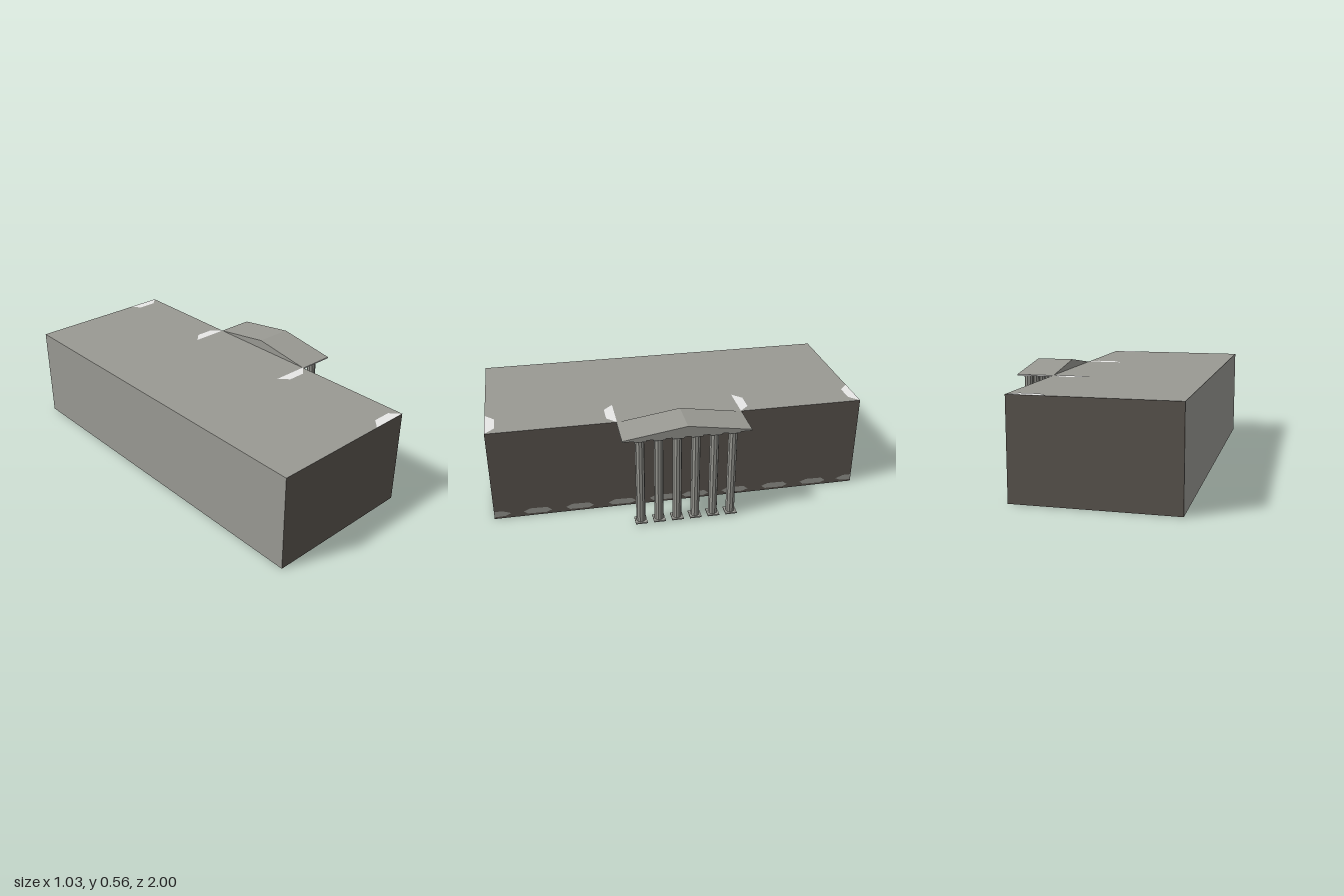
import * as THREE from 'three';

export function createModel() {
  const model = new THREE.Group();
  const mat = (name, color) => {
    const m = new THREE.MeshStandardMaterial({ color });
    m.name = name;
    return m;
  };
  const wall = mat('dark stone wall', 0x5b554f);
  const stone = mat('grey stone', 0x999993);
  const pale = mat('pale stone', 0xebebea);

  const add = (name, geometry, material, parent = model) => {
    const mesh = new THREE.Mesh(geometry, material);
    mesh.name = name;
    parent.add(mesh);
    return mesh;
  };
  // Box given by its limits on each axis
  const block = (name, x0, x1, y0, y1, z0, z1, material, parent) =>
    add(name, new THREE.BoxGeometry(x1 - x0, y1 - y0, z1 - z0), material, parent)
      .position.set((x0 + x1) / 2, (y0 + y1) / 2, (z0 + z1) / 2);
  const shape = (points) => new THREE.Shape(points.map(([x, y]) => new THREE.Vector2(x, y)));

  const left = -0.515, front = 0.31, porch = 0.515, top = 0.515;

  // Main hall: dark walls, with grey rear wall, roof and underside
  block('hall', left, front, 0.001, top, -1, 1, [wall, stone, stone, stone, wall, wall]);

  // Pale floor seen from below, leaving the two wings grey
  const floor = (name, x0, x1, halfDepth) => {
    const plate = add(name, new THREE.PlaneGeometry(x1 - x0, halfDepth * 2), pale);
    plate.rotation.x = Math.PI / 2;
    plate.position.x = (x0 + x1) / 2;
  };
  floor('floorCentre', left, 0.11, 0.33);
  floor('floorStrip', 0.11, front, 1);

  // Pale tapered inlays on the roof
  const inlay = new THREE.ShapeGeometry(shape([[-0.1, 0], [0.1, 0], [0.05, 0.05], [-0.05, 0.05]]));
  inlay.rotateX(-Math.PI / 2);
  for (const [z, turned] of [[-1, true], [-0.33, false], [0.33, true], [1, false]]) {
    const plate = add('roofInlay', inlay, pale);
    plate.position.set(0.21, top + 0.001, z);
    if (turned) plate.rotation.y = Math.PI;
  }

  // Low stones along the foot of the entrance wall, halved at the ends
  const whole = [[-0.075, 0.03], [-0.055, 0.014], [0.045, 0.012], [0.075, 0.024], [0.05, 0.043], [-0.04, 0.045]];
  const half = [[-0.09, 0.028], [-0.06, 0.014], [0, 0.012], [0, 0.045], [-0.045, 0.045]];
  const footStone = (points, z) => {
    const plate = add('footStone', new THREE.ShapeGeometry(shape(points)), stone);
    plate.rotation.y = Math.PI / 2;
    plate.position.set(front + 0.001, 0, z);
  };
  for (const z of [0.09, 0.315, 0.545, 0.77]) {
    footStone(whole, z);
    footStone(whole, -z);
  }
  // Local x runs towards -z on this wall
  footStone(half.map(([x, y]) => [-x, y]).reverse(), 1);
  footStone(half, -1);

  // Portico roof: thin slab with a triangular pediment
  const portico = new THREE.Group();
  portico.name = 'portico';
  model.add(portico);
  block('slab', front, porch, 0.507, 0.514, -0.333, 0.333,
    [stone, stone, stone, pale, pale, pale], portico);
  const gable = new THREE.ExtrudeGeometry(
    shape([[-0.333, 0.514], [0.333, 0.514], [0, 0.565]]),
    { depth: porch - front, bevelEnabled: false });
  gable.rotateY(Math.PI / 2);
  add('pediment', gable, stone, portico).position.x = front;

  // Six columns, each with a square base and cap
  const shaftGeometry = new THREE.CylinderGeometry(0.024, 0.024, 0.484, 10).toNonIndexed();
  shaftGeometry.computeVertexNormals();
  for (let i = 0; i < 6; i++) {
    const z = (i - 2.5) * 0.0965;
    const column = new THREE.Group();
    column.name = 'column';
    portico.add(column);
    add('shaft', shaftGeometry, stone, column).position.set(0.483, 0.259, z);
    block('base', 0.451, porch, 0.01, 0.017, z - 0.031, z + 0.031, stone, column);
    block('cap', 0.451, porch, 0.5, 0.507, z - 0.031, z + 0.031, stone, column);
  }
  return model;
}
